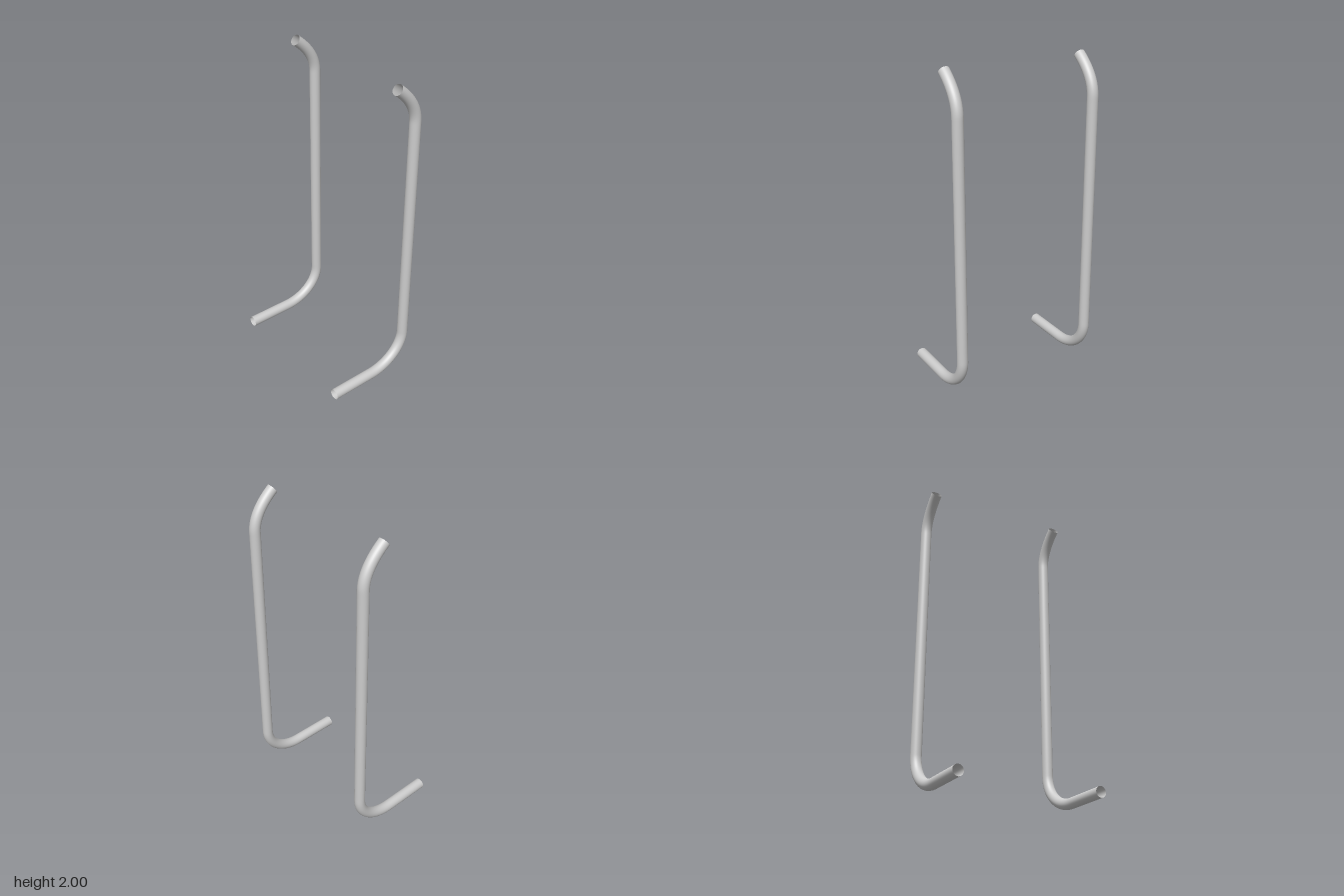
import * as THREE from 'three';

const RADIUS = 0.0335;
const SPACING = 0.4455; // distance of each rail from the centre plane

// Centre line of a rail in the x = 0 plane
function railPath() {
  const p = (y, z) => new THREE.Vector3(0, y, z);
  const path = new THREE.CurvePath();
  const low = RADIUS, back = -0.2615, bendTop = 0.257, hookStart = 1.743;
  const k = 0.5523; // rounds the lower bend like a quarter ellipse
  path.add(new THREE.LineCurve3(p(low, 0.295), p(low, 0)));
  path.add(new THREE.CubicBezierCurve3(
    p(low, 0), p(low, back * k),
    p(bendTop - (bendTop - low) * k, back), p(bendTop, back)));
  path.add(new THREE.LineCurve3(p(bendTop, back), p(hookStart, back)));
  path.add(new THREE.QuadraticBezierCurve3(
    p(hookStart, back), p(1.865, back), p(1.973, -0.118)));
  return path;
}

export function createModel() {
  const model = new THREE.Group();
  model.name = 'handrails';
  const material = new THREE.MeshStandardMaterial({ color: 0xcccccc, side: THREE.DoubleSide });

  // Open-ended bent tube, shared by both sides
  const geometry = new THREE.TubeGeometry(railPath(), 160, RADIUS, 32, false);
  for (const [name, side] of [['leftRail', 1], ['rightRail', -1]]) {
    const rail = new THREE.Mesh(geometry, material);
    rail.name = name;
    rail.position.x = side * SPACING;
    model.add(rail);
  }
  return model;
}
